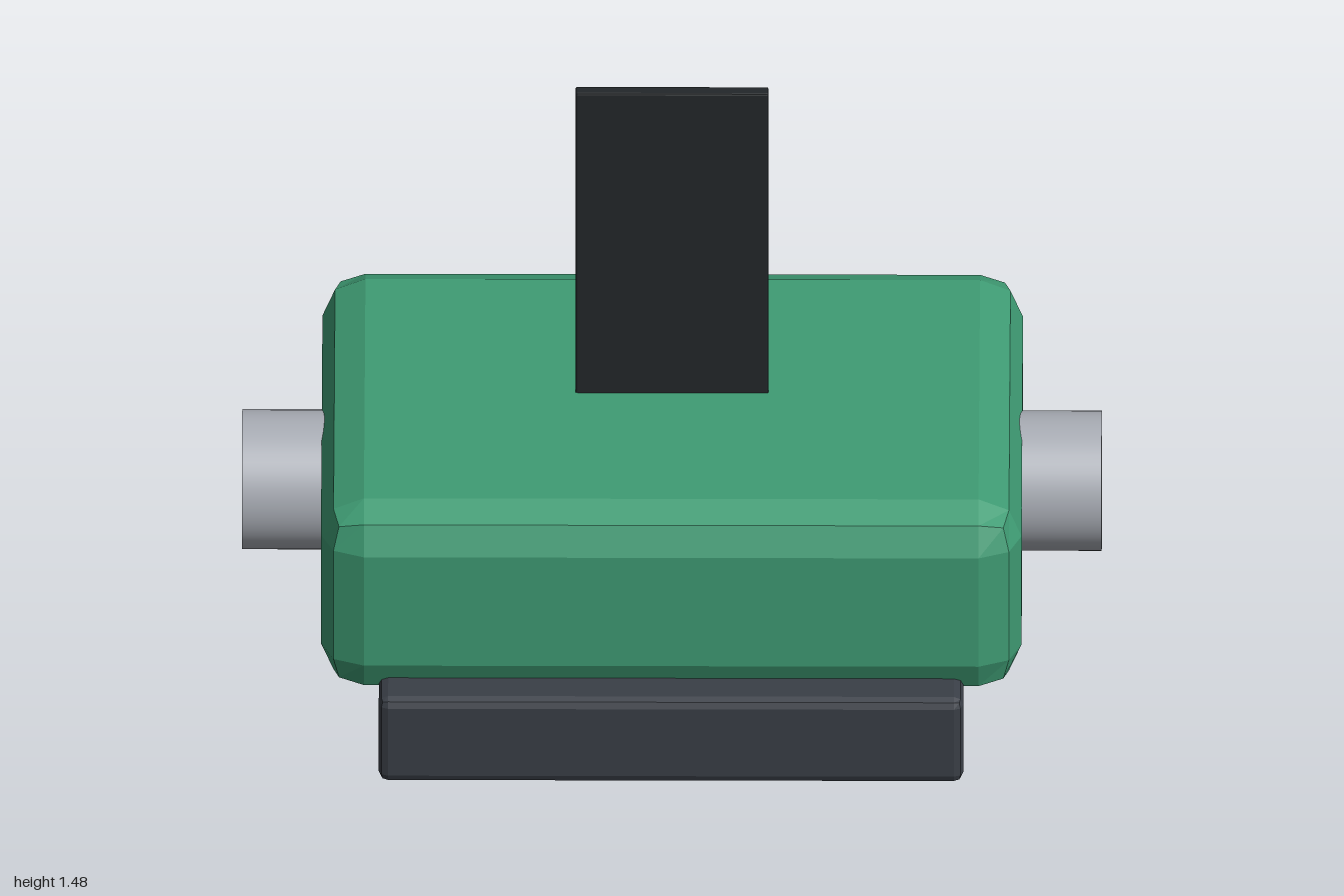
import * as THREE from 'three';
import { RoundedBoxGeometry } from 'three/addons/geometries/RoundedBoxGeometry.js';

const material = (color, flatShading) => new THREE.MeshStandardMaterial({ color, flatShading });

export function createModel() {
  const model = new THREE.Group();
  const green = material(0x3f9c74, true);
  const charcoal = material(0x3a3f47, true);
  const black = material(0x23272a, true);
  const metal = material(0xa9adb5, false);

  const add = (name, geometry, mat, x, y, z) => {
    const mesh = new THREE.Mesh(geometry, mat);
    mesh.name = name;
    mesh.position.set(x, y, z);
    model.add(mesh);
    return mesh;
  };

  // Chamfered main housing
  add('body', new RoundedBoxGeometry(1.63, 0.495, 1.18, 1, 0.1), green, 0, 0.4175, 0);

  // Thin upright panel on top
  add('topPanel', new RoundedBoxGeometry(0.45, 0.83, 0.034, 1, 0.005), black, 0, 1.065, 0);

  // Skids along the front and back
  const skid = new RoundedBoxGeometry(1.36, 0.226, 0.16, 1, 0.022);
  add('frontSkid', skid, charcoal, 0, 0.113, 0.595);
  add('backSkid', skid, charcoal, 0, 0.113, -0.595);

  // Round hubs on both sides
  const hub = new THREE.CylinderGeometry(0.163, 0.163, 0.26, 48).rotateZ(Math.PI / 2);
  add('leftHub', hub, metal, 0.87, 0.4175, 0);
  add('rightHub', hub, metal, -0.87, 0.4175, 0);

  return model;
}
